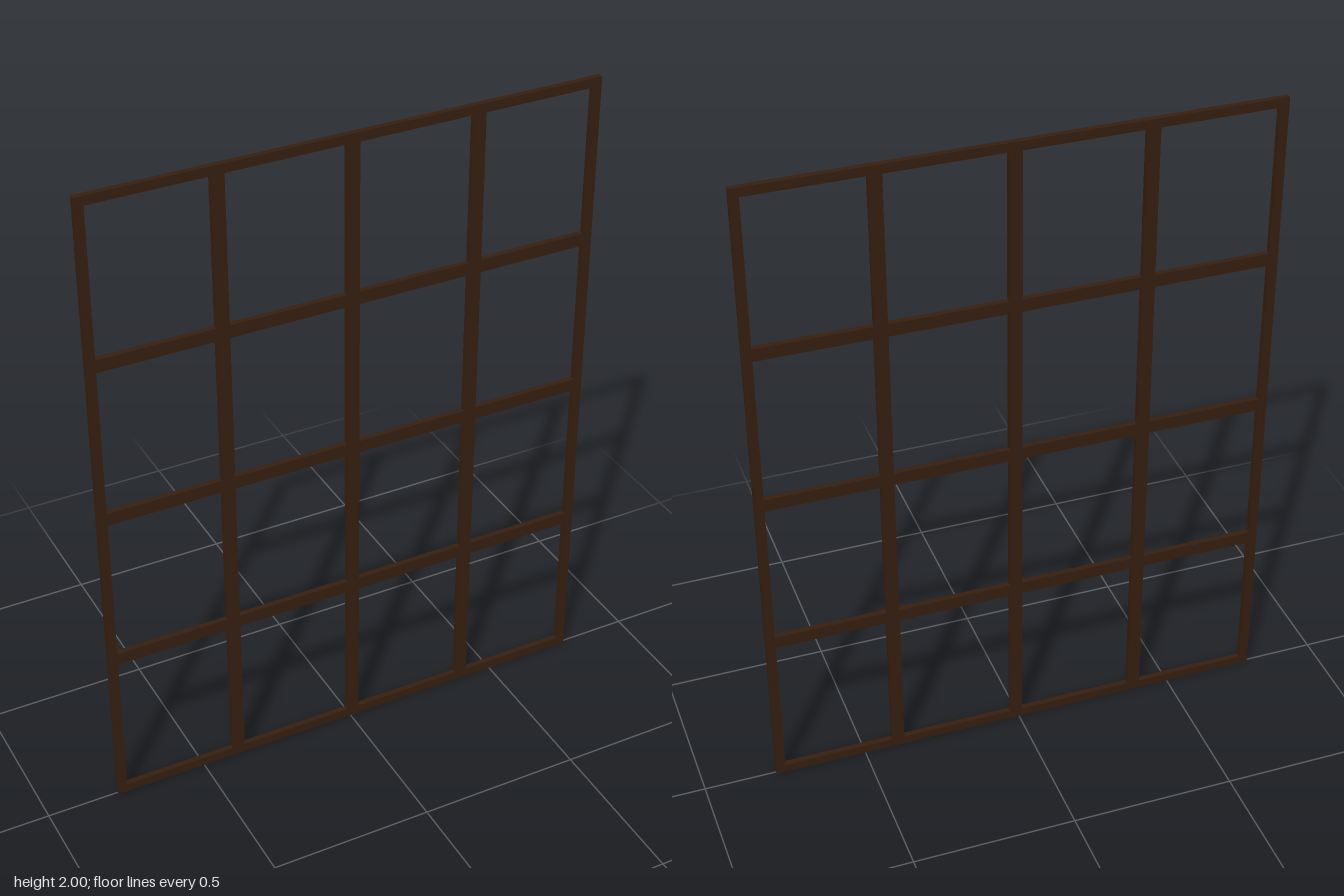
import * as THREE from 'three';

const HALF_W = 0.78, HEIGHT = 2, DEPTH = 0.017;
const BORDER = 0.028, BAR = 0.039;
const MULLIONS_X = [-0.384, 0.009, 0.394];
const RAILS_Y = [0.508, 1.002, 1.497];

function rectangle(target, x0, y0, x1, y1) {
  target.moveTo(x0, y0);
  target.lineTo(x1, y0);
  target.lineTo(x1, y1);
  target.lineTo(x0, y1);
  target.closePath();
  return target;
}

export function createModel() {
  const group = new THREE.Group();
  group.name = 'windowGrille';
  const wood = new THREE.MeshStandardMaterial({ color: 0x351e10 });

  const add = (name, geometry, x = 0, y = 0, z = 0) => {
    const mesh = new THREE.Mesh(geometry, wood);
    mesh.name = name;
    mesh.position.set(x, y, z);
    group.add(mesh);
  };

  // Outer frame: one rectangle with a rectangular opening
  const innerX = HALF_W - BORDER, innerTop = HEIGHT - BORDER;
  const outline = rectangle(new THREE.Shape(), -HALF_W, 0, HALF_W, HEIGHT);
  outline.holes.push(rectangle(new THREE.Path(), -innerX, BORDER, innerX, innerTop));
  add('outerFrame', new THREE.ExtrudeGeometry(outline, { depth: DEPTH, bevelEnabled: false }), 0, 0, -DEPTH / 2);

  // Vertical bars run the full height of the opening
  MULLIONS_X.forEach((x, i) => {
    add(`verticalBar${i + 1}`, new THREE.BoxGeometry(BAR, innerTop - BORDER, DEPTH), x, HEIGHT / 2);
  });

  // Horizontal bars are cut to fit between the vertical ones
  const starts = [-innerX, ...MULLIONS_X.map((x) => x + BAR / 2)];
  const ends = [...MULLIONS_X.map((x) => x - BAR / 2), innerX];
  RAILS_Y.forEach((y, row) => {
    starts.forEach((x0, col) => {
      const x1 = ends[col];
      add(`horizontalBar${row + 1}Piece${col + 1}`, new THREE.BoxGeometry(x1 - x0, BAR, DEPTH), (x0 + x1) / 2, y);
    });
  });

  return group;
}
